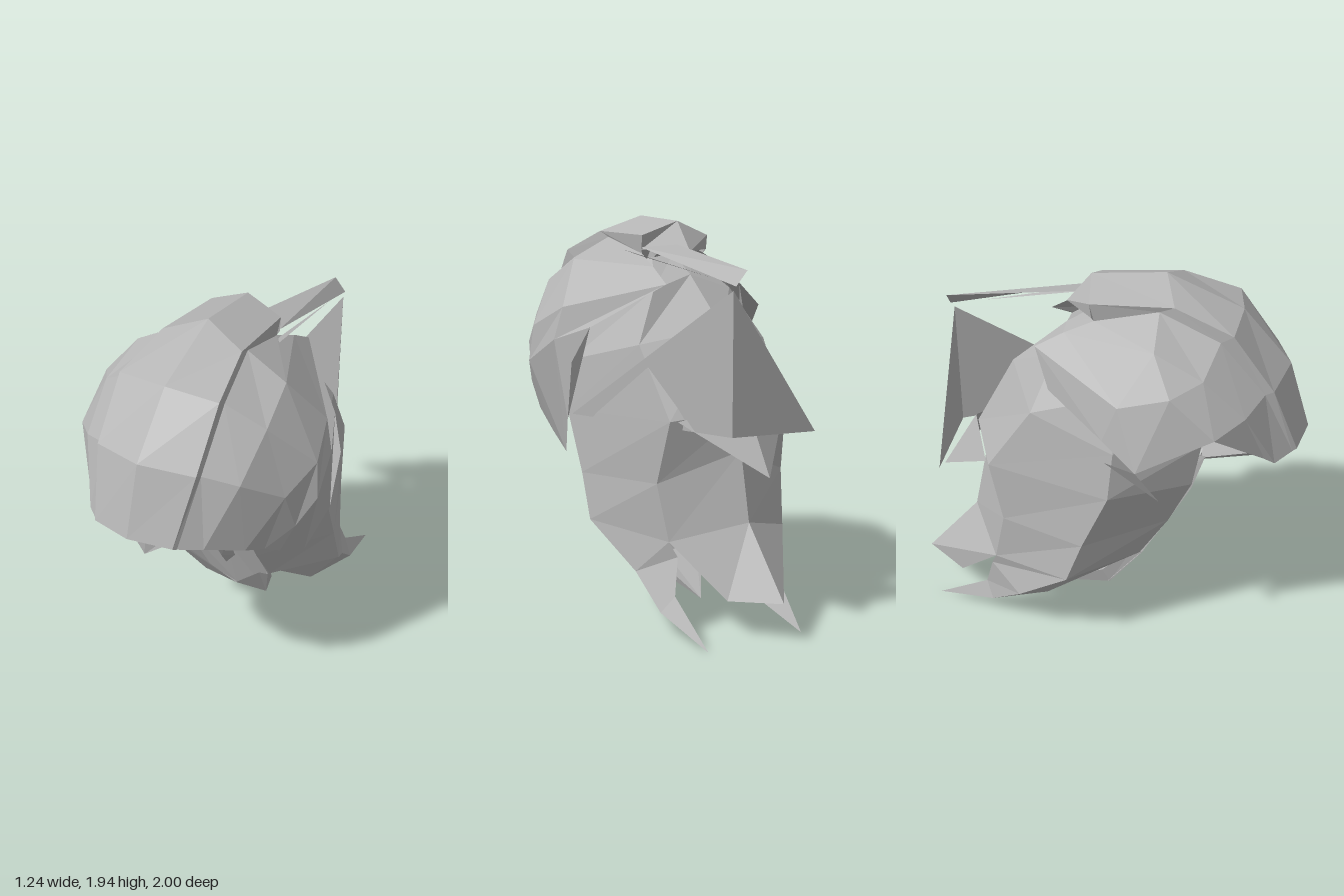
import * as THREE from 'three';

const grey = new THREE.MeshStandardMaterial({ color: 0xb4b4b4, flatShading: true, side: THREE.DoubleSide });
grey.name = 'grey';

// Faceted sheet lofted through rows of [x, y, z] points
function loft(name, rows) {
  const n = rows[0].length, index = [];
  for (let r = 0; r < rows.length - 1; r++) {
    for (let c = 0; c < n - 1; c++) {
      const a = r * n + c, b = a + n;
      index.push(a, b, a + 1, a + 1, b, b + 1);
    }
  }
  const g = new THREE.BufferGeometry();
  g.setAttribute('position', new THREE.Float32BufferAttribute(rows.flat(2), 3));
  g.setIndex(index);
  const flat = g.toNonIndexed();
  flat.computeVertexNormals();
  const mesh = new THREE.Mesh(flat, grey);
  mesh.name = name;
  return mesh;
}

const mirror = ([x, y, z]) => [-x, y, z];
const flip = rows => rows.map(row => row.map(mirror).reverse());
// Half row running side to centre, completed across x = 0
const both = row => [...row, ...row.slice(0, -1).reverse().map(mirror)];
const triangle = (name, a, b, c) => loft(name, [[a, a], [b, c]]);

export function createModel() {
  const group = new THREE.Group();

  // Side panels of the hood, in strips from the crest outwards
  const inner = [[0.22, 1.16, 0.93], [0.26, 1.48, 0.78], [0.25, 1.73, 0.56], [0.2, 1.84, 0.27], [0.18, 1.76, -0.04]];
  const middle = [[0.31, 1.14, 0.85], [0.41, 1.43, 0.7], [0.43, 1.62, 0.5], [0.4, 1.73, 0.27], [0.2, 1.7, -0.18]];
  group.add(loft('hoodRight', [
    inner, middle,
    [[0.43, 1.07, 0.69], [0.54, 1.3, 0.52], [0.6, 1.4, 0.33], [0.54, 1.5, 0.12], [0.21, 1.62, -0.32]],
    [[0.46, 1.0, 0.56], [0.56, 1.1, 0.45], [0.62, 1.22, 0.35], [0.58, 1.34, 0.14], [0.49, 1.41, -0.07]],
    [[0.5, 0.95, 0.48], [0.5, 0.85, 0.33], [0.49, 0.76, 0.2], [0.55, 0.95, 0.06], [0.56, 1.24, -0.01]],
  ]));
  group.add(loft('hoodLeft', [
    inner.map(mirror), middle.map(mirror),
    [[-0.34, 1.18, 0.8], [-0.54, 1.38, 0.57], [-0.53, 1.57, 0.36], [-0.52, 1.5, 0.12], [-0.21, 1.62, -0.32]],
    [[-0.34, 1.18, 0.8], [-0.54, 1.38, 0.57], [-0.62, 1.22, 0.22], [-0.52, 1.32, 0.05], [-0.4, 1.5, -0.22]],
  ]));
  group.add(triangle('hoodLeftPoint', [-0.62, 1.22, 0.22], [-0.57, 1.04, 0.33], [-0.52, 1.2, 0.06]));

  // Raised band over the middle of the hood, with a step down to the side panels
  const crest = [
    [inner[0], [0.21, 1.17, 0.95], [0, 1.18, 1.0]],
    [inner[1], [0.26, 1.5, 0.82], [0, 1.52, 0.89]],
    [inner[2], [0.26, 1.77, 0.62], [0, 1.79, 0.65]],
    [inner[3], [0.21, 1.87, 0.34], [0, 1.95, 0.28]],
    [inner[4], [0.19, 1.85, -0.06], [0, 1.92, -0.08]],
    [inner[4], [0.19, 1.78, -0.05], [0, 1.77, -0.2]],
  ];
  group.add(loft('hoodCrest', crest.map(both)));

  // Pointed piece under the brim
  const tip = [0, 1.0, 0.87], heel = [0, 0.92, 0.47];
  group.add(loft('brimPoint', [
    [[-0.22, 1.14, 0.78], tip, [0.22, 1.14, 0.78]],
    [[-0.24, 1.13, 0.5], heel, [0.24, 1.13, 0.5]],
  ]));
  group.add(loft('brimUnderside', [
    [[-0.21, 1.17, 0.95], [0, 1.18, 0.99], [0.21, 1.17, 0.95]],
    [[-0.3, 1.13, 0.5], [0, 1.17, 0.5], [0.3, 1.13, 0.5]],
  ]));

  // Body behind the hood: front edge, side, rear side, spine
  const body = [
    [[0.15, 1.72, 0.3], [0.18, 1.72, 0.05], [0.12, 1.74, -0.04], [0, 1.76, -0.04]],
    [[0.28, 1.5, 0.5], [0.42, 1.5, 0.1], [0.22, 1.59, -0.22], [0, 1.66, -0.2]],
    [[0.3, 1.2, 0.5], [0.51, 1.24, 0.1], [0.36, 1.34, -0.32], [0, 1.42, -0.48]],
    [[0.3, 0.97, 0.46], [0.54, 1.0, 0.08], [0.33, 1.0, -0.55], [0, 1.05, -0.68]],
    [[0.3, 0.74, 0.35], [0.53, 0.7, -0.05], [0.36, 0.7, -0.48], [0, 0.85, -0.65]],
    [[0.3, 0.52, 0.21], [0.53, 0.48, -0.13], [0.33, 0.43, -0.54], [0, 0.52, -0.72]],
  ];
  group.add(loft('body', body.map(both)));

  // Pointed locks hanging from the sides of the body
  const hem = [...body[5].slice(0, 3), body[5][0]];
  const lock = (x, frontX, innerX, outerX) => {
    const end = [x, 0.01, -0.91];
    const front = [frontX, 0.32, -0.04], low = [innerX, 0.11, -0.3];
    return [
      hem,
      [front, [0.43, 0.27, -0.4], [0.3, 0.36, -0.57], front],
      [low, [outerX, 0.11, -0.58], [(innerX + outerX) / 2, 0.19, -0.62], low],
      [end, end, end, end],
    ];
  };
  group.add(loft('rightLock', lock(0.35, 0.22, 0.29, 0.4)));
  group.add(loft('leftLock', flip(lock(0.17, 0.25, 0.2, 0.3))));

  // Central lock at the back
  const backTip = [0, 0.2, -1.0];
  group.add(loft('backLock', [
    [[0.33, 0.43, -0.54], [0, 0.52, -0.72], [-0.33, 0.43, -0.54], [0, 0.37, -0.58], [0.33, 0.43, -0.54]],
    [[0.16, 0.18, -0.78], backTip, [-0.16, 0.18, -0.78], [0, 0.17, -0.78], [0.16, 0.18, -0.78]],
  ]));
  group.add(loft('backFlap', [
    [[0.3, 1.0, -0.57], [0, 1.08, -0.69], [-0.3, 1.0, -0.57]],
    [[0, 0.76, -0.88], [0, 0.76, -0.88], [0, 0.76, -0.88]],
  ]));

  // Slightly recessed face, sloping back towards the chin
  const face = [
    [[0.3, 1.14, 0.52], [0.29, 1.14, 0.47], [0, 1.14, 0.47]],
    [[0.3, 0.95, 0.46], [0.29, 0.95, 0.37], [0, 0.95, 0.37]],
    [[0.3, 0.76, 0.36], [0.28, 0.79, 0.25], [0, 0.79, 0.25]],
    [[0.3, 0.52, 0.22], [0.27, 0.57, 0.14], [0, 0.57, 0.14]],
    [[0.19, 0.22, 0.03], [0.16, 0.24, 0.03], [0, 0.2, 0.03]],
  ];
  group.add(loft('face', face.map(both)));

  // Jaw strips running down into the pointed chin
  const jaw = [
    [[0.28, 0.52, 0.17], [0.3, 0.53, 0.23], [0.24, 0.5, 0.21]],
    [[0.2, 0.3, 0.0], [0.19, 0.22, 0.04], [0, 0.2, 0.04]],
  ];
  group.add(loft('rightJaw', jaw), loft('leftJaw', flip(jaw)));
  const chinTip = [0, 0.04, -0.31];
  group.add(loft('chin', [both(jaw[1]), Array(5).fill(chinTip)]));

  // Long tapering strip in the middle of the face
  const nose = [[0.1, 1.0, 0.49], [0.09, 0.8, 0.34], [0.07, 0.68, 0.28], [0.06, 0.5, 0.19], [0, 0.42, 0.14]];
  group.add(loft('nose', nose.map(([x, y, z]) => [[-x, y, z - 0.04], [0, y, z], [x, y, z - 0.04]])));

  // Loose strands at the back of the crest
  group.add(loft('topStrand', [
    [[0.03, 1.82, -0.04], [0.19, 1.79, -0.05]],
    [[0.1, 1.7, -0.83], [0.16, 1.63, -0.83]],
  ]));
  group.add(triangle('sideStrand', [0.16, 1.66, -0.65], [0.24, 1.78, 0.05], [0.19, 1.75, -0.04]));

  // Thin two-sided sail at the back, running forward into the body
  const sailTop = [0.16, 1.61, -0.81], sailFoot = [0.16, 0.95, -0.81];
  group.add(triangle('sailBack', sailTop, sailFoot, [-0.31, 0.94, -0.81]));
  group.add(triangle('sailSide', sailTop, sailFoot, [0.54, 0.98, 0.03]));

  return group;
}
